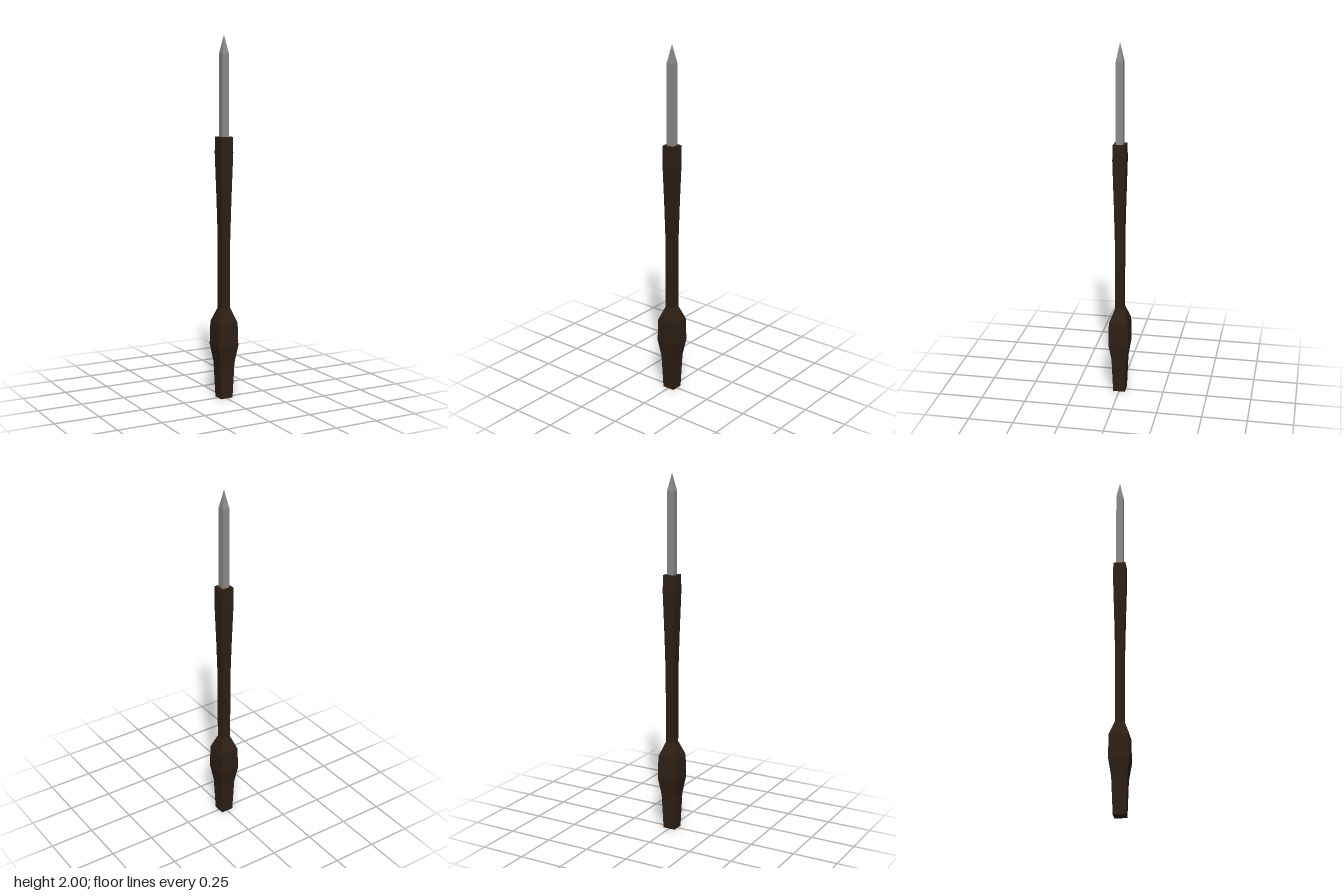
import * as THREE from 'three';

// Square-section solid from [halfWidth, height] pairs, listed bottom to top
function squareTurned(name, profile, color, depthScale = 1) {
  const points = profile.map(([half, y]) => new THREE.Vector2(half * Math.SQRT2, y));
  const geometry = new THREE.LatheGeometry(points, 4, Math.PI / 4);
  geometry.scale(1, 1, depthScale);
  const material = new THREE.MeshStandardMaterial({ color, flatShading: true });
  const mesh = new THREE.Mesh(geometry, material);
  mesh.name = name;
  return mesh;
}

export function createModel() {
  const group = new THREE.Group();
  group.name = 'spike';

  // Wooden handle: tapered foot, swollen grip, slim neck, flared collar
  group.add(squareTurned('handle', [
    [0, 0], [0.036, 0], [0.044, 0.2], [0.06, 0.3], [0.057, 0.43],
    [0.026, 0.51], [0.026, 0.9], [0.031, 1.12], [0.038, 1.37], [0.036, 1.455], [0, 1.455],
  ], 0x2e2015, 0.94));

  // Steel blade with a pyramid point, seated in the handle
  group.add(squareTurned('blade', [
    [0, 1.4], [0.02, 1.4], [0.02, 1.9], [0, 2],
  ], 0x8c8c8c));

  return group;
}
